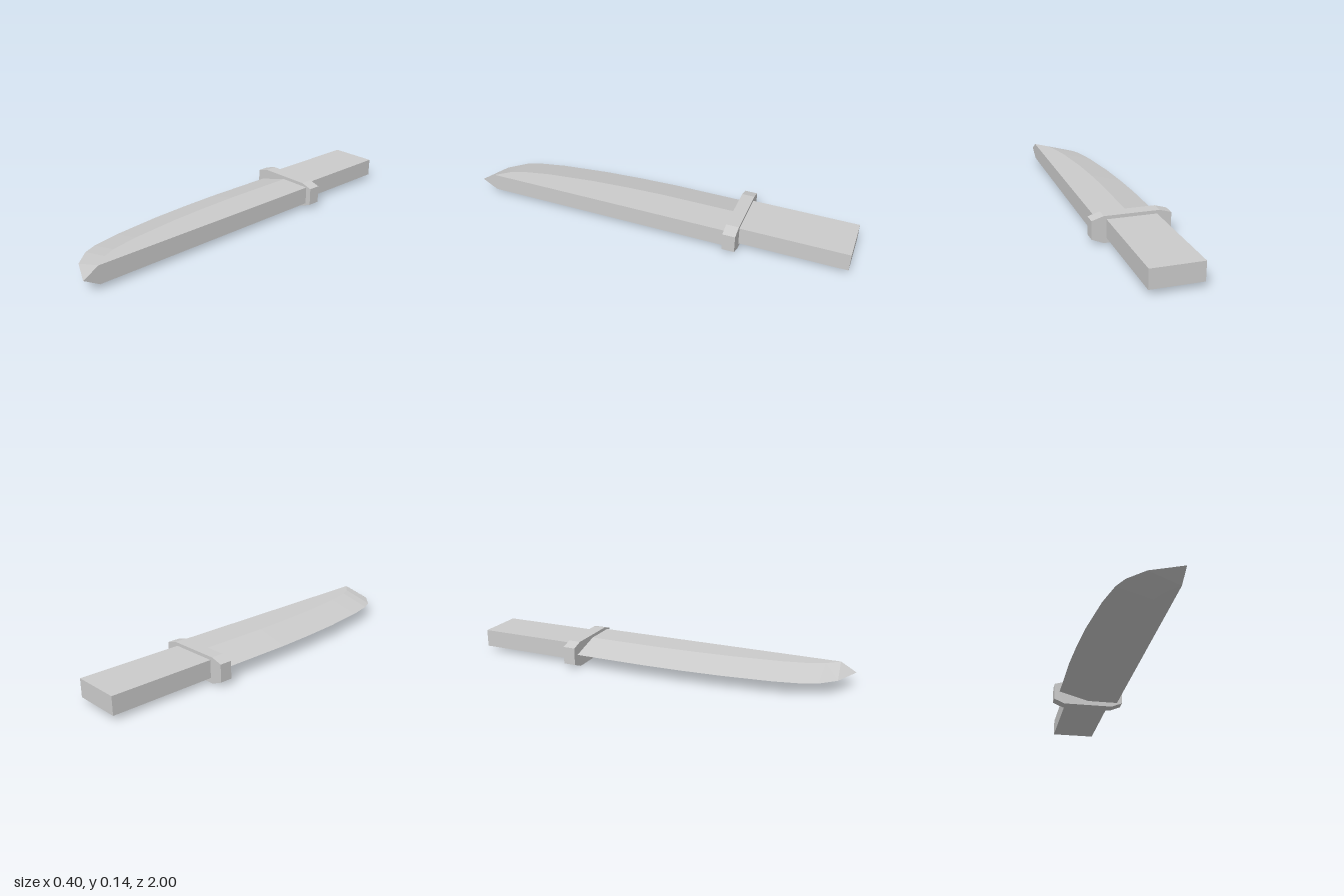
import * as THREE from 'three';

const material = new THREE.MeshStandardMaterial({ color: 0xcccccc, flatShading: true });
const BOTTOM = 0.025, TOP = 0.118, MID = 0.072, SPINE = 0.168;

function addPart(group, name, geometry) {
  const mesh = new THREE.Mesh(geometry, material);
  mesh.name = name;
  group.add(mesh);
  return mesh;
}

// Blade section: cutting edge, bevel ridge and flat spine, counter-clockwise from the front
function bladeSection(z, edge, sideZ = z) {
  const ridge = Math.min(edge + 0.168, SPINE);
  return [
    [edge, MID, z], [ridge, BOTTOM, sideZ], [SPINE, BOTTOM, sideZ],
    [SPINE, TOP, sideZ], [ridge, TOP, sideZ],
  ].map((p) => new THREE.Vector3(...p));
}

function bladeGeometry() {
  const sections = [
    [-0.4, -0.168], [0, -0.168], [0.2, -0.16], [0.4, -0.146],
    [0.65, -0.115], [0.79, -0.084], [0.855, -0.055], [0.935, 0.02, 0.92],
  ].map((s) => bladeSection(...s));
  // All corners meet at the point
  sections.push(Array.from({ length: 5 }, () => new THREE.Vector3(SPINE, MID, 1)));

  const points = [];
  const face = (a, b, c) => {
    if (new THREE.Triangle(a, b, c).getArea() > 1e-7) points.push(a, b, c);
  };
  for (let s = 0; s < sections.length - 1; s++) {
    const a = sections[s], b = sections[s + 1];
    for (let i = 0; i < 5; i++) {
      const j = (i + 1) % 5;
      face(a[i], a[j], b[j]);
      face(a[i], b[j], b[i]);
    }
  }
  // Closed rear end
  const rear = sections[0];
  for (let i = 1; i < 4; i++) face(rear[0], rear[i + 1], rear[i]);

  const geometry = new THREE.BufferGeometry().setFromPoints(points);
  geometry.computeVertexNormals();
  return geometry;
}

// Guard plate with long chamfered corners
function guardGeometry() {
  const outline = [
    [-0.138, 0], [0.138, 0], [0.198, 0.025], [0.198, 0.117],
    [0.138, 0.135], [-0.138, 0.135], [-0.198, 0.117], [-0.198, 0.025],
  ].map(([x, y]) => new THREE.Vector2(x, y));
  return new THREE.ExtrudeGeometry(new THREE.Shape(outline), { depth: 0.065, bevelEnabled: false });
}

export function createModel() {
  const group = new THREE.Group();
  group.name = 'knife';

  addPart(group, 'blade', bladeGeometry());
  addPart(group, 'guard', guardGeometry()).position.z = -0.455;

  // Handle runs slightly into the guard
  addPart(group, 'handle', new THREE.BoxGeometry(0.25, TOP - BOTTOM, 0.56))
    .position.set(0, (TOP + BOTTOM) / 2, -0.72);

  return group;
}
